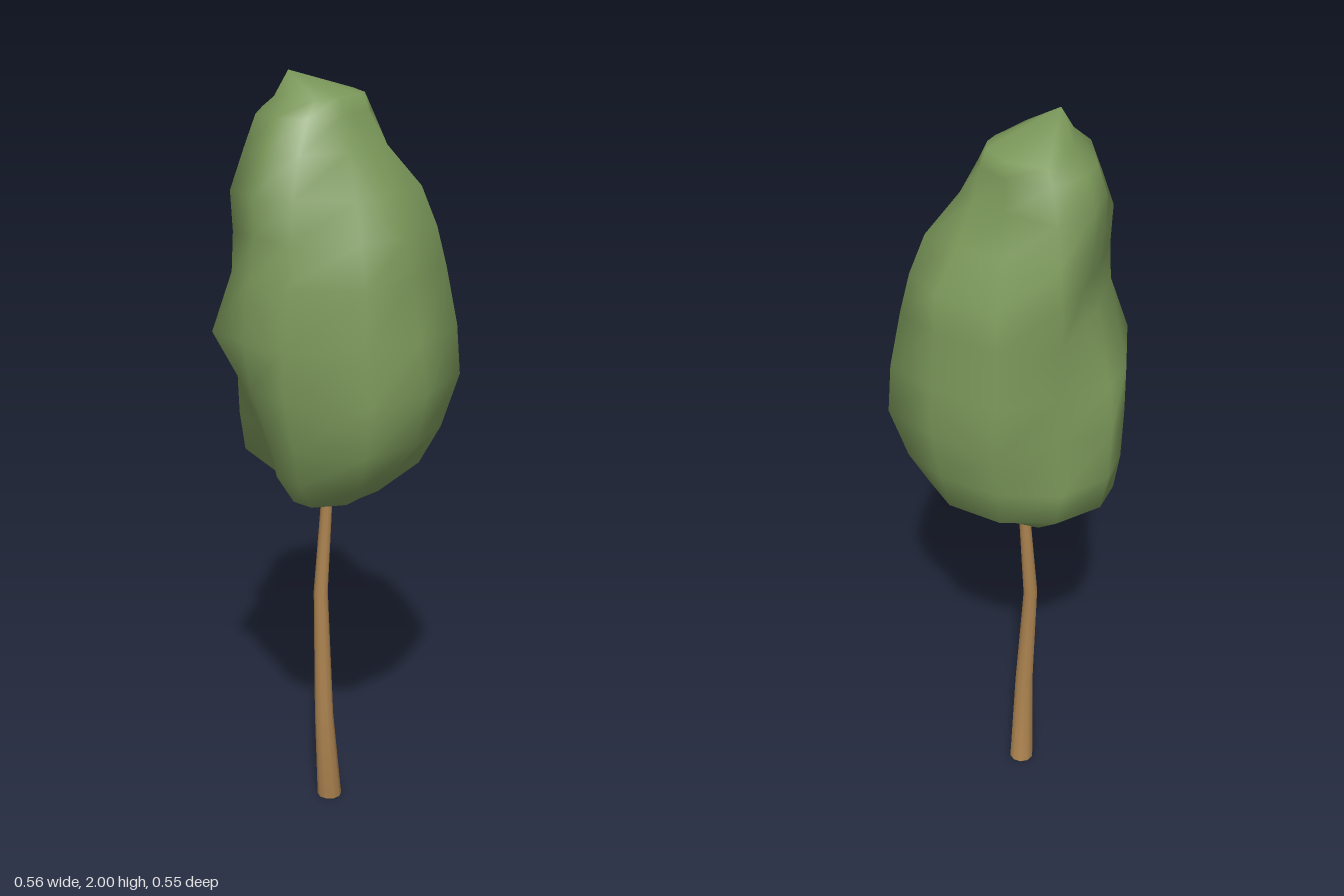
import * as THREE from 'three';

// Skin a stack of closed rings (counted from +x towards +z, bottom to top);
// a ring of a single point closes an end.
function loft(rings) {
  const positions = [], index = [], first = [];
  for (const points of rings) {
    first.push(positions.length / 3);
    for (const p of points) positions.push(p.x, p.y, p.z);
  }
  const sides = Math.max(...rings.map((points) => points.length));
  const at = (i, j) => first[i] + (j % rings[i].length);
  for (let i = 0; i < rings.length - 1; i++) {
    for (let j = 0; j < sides; j++) {
      const a = at(i, j), b = at(i, j + 1), c = at(i + 1, j), d = at(i + 1, j + 1);
      if (a !== b) index.push(a, c, b);
      if (c !== d) index.push(b, c, d);
    }
  }
  const geometry = new THREE.BufferGeometry();
  geometry.setAttribute('position', new THREE.Float32BufferAttribute(positions, 3));
  geometry.setIndex(index);
  geometry.computeVertexNormals();
  return geometry;
}

// Ring around (x, z) at height y, with one radius per angle in degrees
function ring(x, y, z, radii, angles) {
  return radii.map((r, j) => {
    const a = THREE.MathUtils.degToRad(angles[j]);
    return new THREE.Vector3(x + r * Math.cos(a), y, z + r * Math.sin(a));
  });
}

export function createModel() {
  const model = new THREE.Group();
  model.name = 'tree';
  const leafGreen = new THREE.MeshStandardMaterial({ color: 0x7b985a });
  leafGreen.name = 'leafGreen';
  const barkBrown = new THREE.MeshStandardMaterial({ color: 0xac8350 });
  barkBrown.name = 'barkBrown';

  const add = (name, geometry, material) => {
    const mesh = new THREE.Mesh(geometry, material);
    mesh.name = name;
    model.add(mesh);
    return mesh;
  };

  // Crooked, tapering trunk: x, y, z, radius
  const trunk = [
    [-0.03, 0, -0.014, 0.033],
    [-0.023, 0.27, 0.022, 0.025],
    [-0.051, 0.62, -0.005, 0.019],
    [-0.031, 0.95, -0.012, 0.014],
  ];
  const even = Array.from({ length: 10 }, (_, j) => j * 36);
  add('trunk', loft(trunk.map(([x, y, z, r]) => ring(x, y, z, even.map(() => r), even))), barkBrown);
  const base = add('trunkBase', new THREE.CircleGeometry(0.033, 10), barkBrown);
  base.rotation.x = Math.PI / 2;
  base.position.set(-0.03, 0, -0.014);

  // Lumpy crown: height, then one radius along each of the uneven angles
  const angles = [3, 40, 84, 112, 134, 170, 191, 221, 257, 298, 326];
  const crown = [
    [0.92, 0.08, 0.10, 0.13, 0.13, 0.12, 0.12, 0.12, 0.14, 0.10, 0.10, 0.11],
    [1.00, 0.17, 0.21, 0.195, 0.18, 0.16, 0.26, 0.26, 0.235, 0.21, 0.21, 0.215],
    [1.10, 0.25, 0.26, 0.22, 0.20, 0.19, 0.275, 0.28, 0.26, 0.23, 0.235, 0.27],
    [1.24, 0.28, 0.297, 0.265, 0.25, 0.245, 0.28, 0.285, 0.23, 0.278, 0.26, 0.315],
    [1.37, 0.26, 0.25, 0.277, 0.275, 0.312, 0.28, 0.275, 0.235, 0.26, 0.255, 0.305],
    [1.52, 0.235, 0.26, 0.245, 0.25, 0.26, 0.205, 0.205, 0.25, 0.245, 0.24, 0.275],
    [1.62, 0.21, 0.22, 0.235, 0.235, 0.255, 0.20, 0.20, 0.245, 0.24, 0.235, 0.25],
    [1.72, 0.165, 0.18, 0.22, 0.24, 0.26, 0.215, 0.215, 0.235, 0.165, 0.17, 0.21],
    [1.82, 0.095, 0.115, 0.185, 0.205, 0.225, 0.22, 0.22, 0.215, 0.135, 0.12, 0.125],
    [1.90, 0.055, 0.07, 0.145, 0.17, 0.195, 0.195, 0.195, 0.19, 0.125, 0.10, 0.08],
    [1.94, 0.045, 0.045, 0.10, 0.13, 0.15, 0.14, 0.14, 0.17, 0.12, 0.08, 0.06],
  ];
  add('crown', loft([
    [new THREE.Vector3(-0.03, 0.895, -0.01)],
    ...crown.map(([y, ...radii]) => ring(0, y, 0, radii, angles)),
    [new THREE.Vector3(-0.085, 2, 0.075)],
  ]), leafGreen);

  return model;
}
